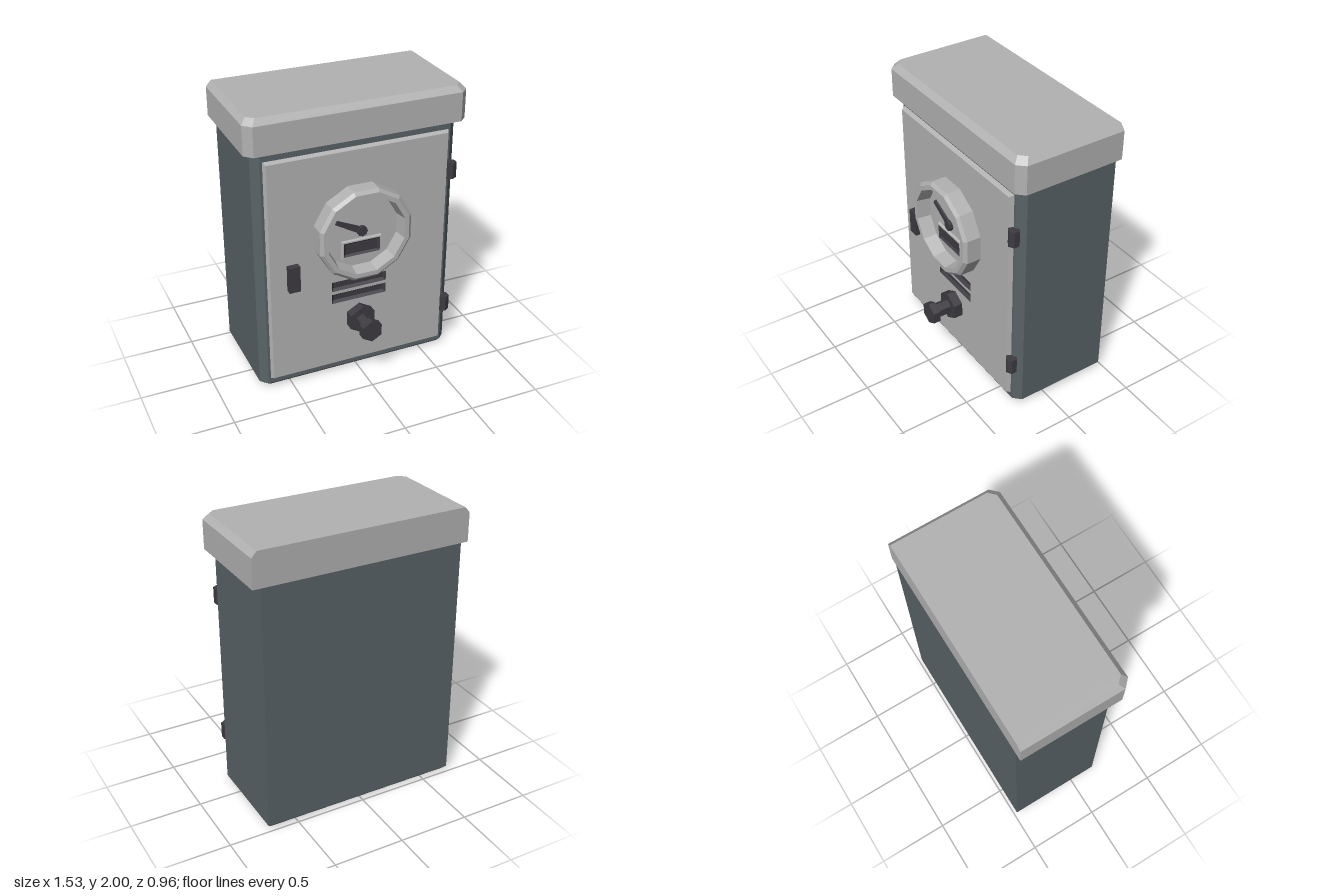
import * as THREE from 'three';

const lightGrey = new THREE.MeshStandardMaterial({ name: 'lightGrey', color: 0xb2b2b2 });
const slate = new THREE.MeshStandardMaterial({ name: 'slate', color: 0x596367 });
const charcoal = new THREE.MeshStandardMaterial({ name: 'charcoal', color: 0x3d3b41 });

// Give any geometry hard facets
function faceted(geometry) {
  const g = geometry.index ? geometry.toNonIndexed() : geometry;
  g.computeVertexNormals();
  return g;
}

// Skin convex counter-clockwise outlines [[x, y], ...] stacked at heights z
function loft(layers, capStart = true, capEnd = true) {
  const pos = [];
  const put = (l, k) => {
    const pts = layers[l].outline;
    const p = pts[k % pts.length];
    pos.push(p[0], p[1], layers[l].z);
  };
  const n = layers[0].outline.length;
  const last = layers.length - 1;
  for (let l = 0; l < last; l++) {
    for (let k = 0; k < n; k++) {
      put(l, k); put(l, k + 1); put(l + 1, k + 1);
      put(l, k); put(l + 1, k + 1); put(l + 1, k);
    }
  }
  for (let k = 1; k < n - 1; k++) {
    if (capStart) { put(0, 0); put(0, k + 1); put(0, k); }
    if (capEnd) { put(last, 0); put(last, k); put(last, k + 1); }
  }
  const g = new THREE.BufferGeometry();
  g.setAttribute('position', new THREE.Float32BufferAttribute(pos, 3));
  return faceted(g);
}

// Plan outline with cut front corners (second coordinate is -z)
const plan = (h, front, back, c) => [
  [-h, -back], [-h, -front + c], [-h + c, -front], [h - c, -front], [h, -front + c], [h, -back],
];

// Rectangle about a centre, counter-clockwise
const rect = (cx, cy, hw, hh) => [
  [cx - hw, cy - hh], [cx + hw, cy - hh], [cx + hw, cy + hh], [cx - hw, cy + hh],
];

// Flat plate at height z with rectangular openings
function platePierced(outline, openings, z) {
  const toPts = (o) => o.map(([x, y]) => new THREE.Vector2(x, y));
  const shape = new THREE.Shape(toPts(outline));
  for (const o of openings) shape.holes.push(new THREE.Path(toPts(o)));
  return new THREE.ShapeGeometry(shape).translate(0, 0, z);
}

// Prism along z, with a corner pointing up
function prismZ(radius, sides, z0, z1, x, y) {
  const g = new THREE.CylinderGeometry(radius, radius, z1 - z0, sides);
  return faceted(g.rotateX(Math.PI / 2).translate(x, y, (z0 + z1) / 2));
}

export function createModel() {
  const model = new THREE.Group();
  const add = (name, geometry, material) => {
    const m = new THREE.Mesh(geometry, material);
    m.name = name;
    model.add(m);
    return m;
  };

  // Cabinet with chamfered front corners and base
  add('cabinetBody', loft([
    { z: 0, outline: plan(0.68, 0.205, -0.45, 0.035) },
    { z: 0.03, outline: plan(0.712, 0.235, -0.48, 0.05) },
    { z: 1.76, outline: plan(0.712, 0.235, -0.48, 0.05) },
  ]).rotateX(-Math.PI / 2), slate);

  // Overhanging lid
  add('lid', loft([
    { z: 1.76, outline: plan(0.765, 0.284, -0.48, 0.052) },
    { z: 1.96, outline: plan(0.765, 0.284, -0.48, 0.052) },
    { z: 2.0, outline: plan(0.73, 0.248, -0.48, 0.045) },
  ]).rotateX(-Math.PI / 2), lightGrey);

  // Door: bevelled rim plus a front plate pierced by the vents
  const vents = [0.705, 0.61];
  const doorFront = rect(0, 0.885, 0.633, 0.8);
  add('doorRim', loft([
    { z: 0.235, outline: rect(0, 0.885, 0.646, 0.813) },
    { z: 0.265, outline: doorFront },
  ], true, false), lightGrey);
  add('doorPanel', platePierced(doorFront, vents.map((y) => rect(0, y, 0.2, 0.036)), 0.265), lightGrey);
  for (const y of vents) {
    add('ventSlot', loft([
      { z: 0.265, outline: rect(0, y, 0.2, 0.036) },
      { z: 0.245, outline: rect(0, y, 0.182, 0.02) },
    ], false, true), charcoal);
  }

  // Twelve-sided gauge: outer wall, rim, inner wall and dial face
  const cy = 1.116;
  const R = 1 / Math.cos(Math.PI / 12);
  const profile = [[0.325, 0.26], [0.325, 0.365], [0.303, 0.385], [0.272, 0.385], [0.256, 0.29], [0, 0.29]]
    .map(([r, z]) => new THREE.Vector2(r * R, z));
  add('gauge', faceted(new THREE.LatheGeometry(profile, 12, Math.PI / 12)
    .rotateX(Math.PI / 2).translate(0, cy, 0)), lightGrey);

  // Gauge needle and pivot
  const tip = new THREE.Vector2(-0.18, 0.092);
  const side = new THREE.Vector2(-tip.y, tip.x).normalize();
  const corner = (p, w) => [p.x + side.x * w, cy + p.y + side.y * w];
  const hub = new THREE.Vector2(0, 0);
  const needle = [corner(hub, 0.024), corner(tip, 0.014), corner(tip, -0.014), corner(hub, -0.024)].reverse();
  add('needle', loft([{ z: 0.288, outline: needle }, { z: 0.305, outline: needle }]), charcoal);
  add('needlePivot', prismZ(0.037, 8, 0.288, 0.315, 0, cy), charcoal);

  // Counter window on the dial
  const wy = 0.992;
  const opening = rect(0, wy, 0.13, 0.051);
  const frame = rect(0, wy, 0.138, 0.06);
  add('windowFrameSides', loft([
    { z: 0.288, outline: rect(0, wy, 0.146, 0.068) }, { z: 0.305, outline: frame },
  ], false, false), lightGrey);
  add('windowFrameFront', platePierced(frame, [opening], 0.305), lightGrey);
  add('counterWindow', loft([
    { z: 0.305, outline: opening }, { z: 0.292, outline: rect(0, wy, 0.115, 0.038) },
  ], false, true), charcoal);

  // Latch
  add('latch', new THREE.BoxGeometry(0.078, 0.186, 0.05).translate(-0.479, 0.857, 0.286), charcoal);

  // Hexagonal knob: base, stem and head
  for (const [name, r, z0, z1] of [
    ['knobBase', 0.103, 0.26, 0.33], ['knobStem', 0.053, 0.33, 0.43], ['knobHead', 0.08, 0.43, 0.483],
  ]) add(name, prismZ(r, 6, z0, z1, 0, 0.432), charcoal);

  // Hinges
  for (const y of [1.41, 0.363]) {
    add('hinge', faceted(new THREE.CylinderGeometry(0.04, 0.04, 0.112, 6).translate(0.669, y, 0.25)), charcoal);
  }
  return model;
}
